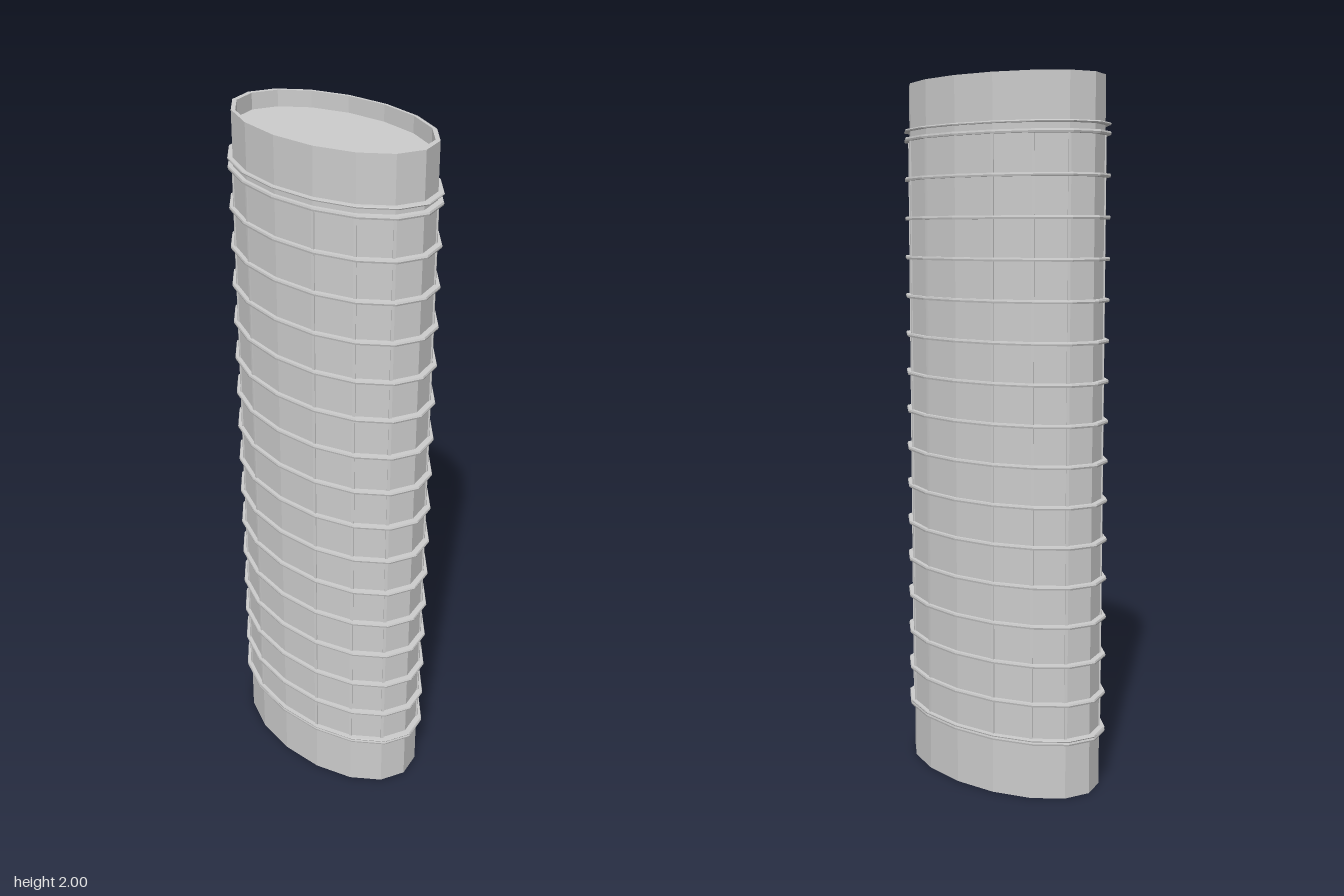
import * as THREE from 'three';

const SIDES = 16, DEPTH = 0.584; // flattened 16-sided section
const A = 0.333;                 // half width of the shell

export function createModel() {
  const model = new THREE.Group();
  const mat = new THREE.MeshStandardMaterial({ color: 0xcccccc, flatShading: true, side: THREE.DoubleSide });

  const add = (name, geo, parent = model) => {
    const m = new THREE.Mesh(geo, mat);
    m.name = name;
    parent.add(m);
    return m;
  };
  // Revolved profile squashed into an oval
  const oval = (pts) => new THREE.LatheGeometry(pts.map(p => new THREE.Vector2(...p)), SIDES).scale(1, 1, DEPTH);

  // Outer shell, rolled rim and recessed lid
  add('shell', oval([[A, 0], [A, 2]]));
  add('rim', oval([[A, 2], [0.318, 2], [0.318, 1.955]]));
  add('lid', oval([[0.318, 1.955], [0, 1.955]]));
  // Closing plate recessed inside the open foot
  add('basePlate', oval([[0, 0.16], [A, 0.16]]));

  // Evenly spaced hoops, with an extra one at each end
  const hoops = new THREE.Group();
  hoops.name = 'hoops';
  model.add(hoops);
  const hoop = (y, h) => add('hoop', oval([[0.33, y - h], [0.35, y - h], [0.352, y], [0.35, y + h], [0.33, y + h]]), hoops);
  for (let i = 0; i < 16; i++) hoop(0.165 + i * 0.112, 0.005);
  hoop(1.87, 0.003);
  hoop(0.173, 0.003);

  // Slim upright ribs along the corners
  const ribs = new THREE.Group();
  ribs.name = 'uprightRibs';
  model.add(ribs);
  for (let i = 0; i < SIDES; i++) {
    if (i % 4 === 0) continue; // none on the main axes
    const t = i * Math.PI * 2 / SIDES;
    const rib = add('rib', new THREE.BoxGeometry(0.008, 1.68, 0.006), ribs);
    rib.position.set(A * Math.sin(t), 1.007, A * DEPTH * Math.cos(t));
    rib.rotation.y = Math.atan2(Math.sin(t) * DEPTH, Math.cos(t));
  }
  return model;
}
